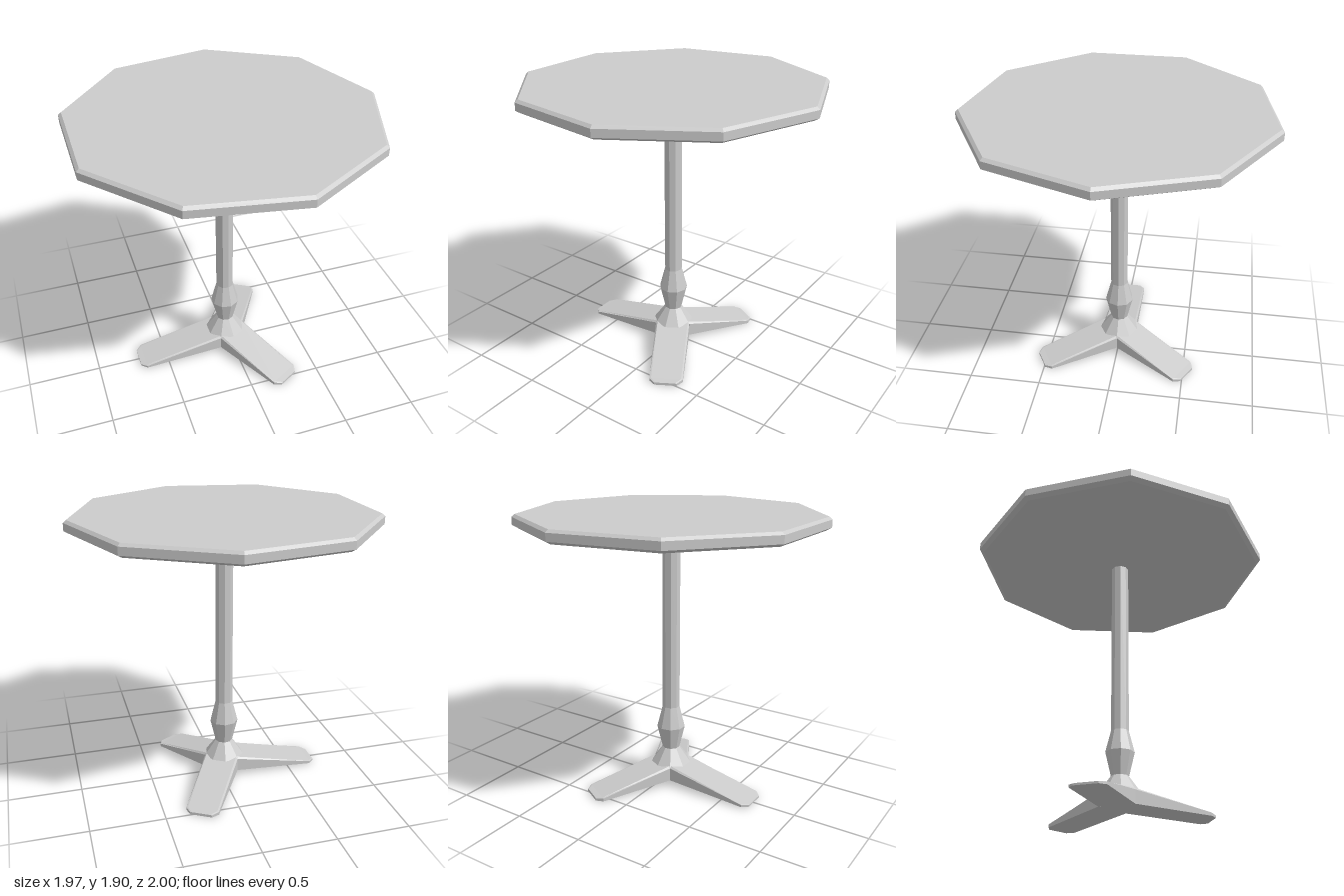
import * as THREE from 'three';

const SIDES = 9;
const CENTRE_X = -0.035;

const material = new THREE.MeshStandardMaterial({
  color: 0xcccccc, flatShading: true, side: THREE.DoubleSide,
});

// Nine-sided turned part from [radius, height] pairs, with one corner on +x
function turned(name, profile) {
  const points = profile.map(([r, y]) => new THREE.Vector2(r, y));
  const mesh = new THREE.Mesh(new THREE.LatheGeometry(points, SIDES, Math.PI / 2), material);
  mesh.name = name;
  return mesh;
}

// Solid lofted along +x; each section is [x, half width, bottom y, top y]
function legGeometry(sections) {
  const positions = [];
  const index = [];
  const n = 6;
  for (const [x, w, bottom, top] of sections) {
    const bevel = (top - bottom) * 0.12;
    const inner = Math.max(w - 0.012, 0);
    positions.push(
      x, bottom, -w, x, bottom, w,
      x, top - bevel, w, x, top, inner,
      x, top, -inner, x, top - bevel, -w,
    );
  }
  for (let s = 0; s < sections.length - 1; s++) {
    for (let j = 0; j < n; j++) {
      const a = s * n + j;
      const b = s * n + ((j + 1) % n);
      index.push(a, a + n, b, b, a + n, b + n);
    }
  }
  // Tip cap
  const last = (sections.length - 1) * n;
  for (let j = 1; j < n - 1; j++) index.push(last, last + j + 1, last + j);

  const geometry = new THREE.BufferGeometry();
  geometry.setAttribute('position', new THREE.Float32BufferAttribute(positions, 3));
  geometry.setIndex(index);
  geometry.computeVertexNormals();
  return geometry;
}

// Sloping leg with clipped tip corners; its root is a wedge that meets its neighbours
function leg(name, length, angle, tipY) {
  const mesh = new THREE.Mesh(legGeometry([
    [0, 0, 0.045, 0.15],
    [0.07, 0.121, 0.045, 0.15],
    [length - 0.04, 0.113, tipY + 0.002, 0.026],
    [length, 0.075, tipY, 0.018],
  ]), material);
  mesh.name = name;
  mesh.rotation.y = angle;
  return mesh;
}

export function createModel() {
  const model = new THREE.Group();
  model.name = 'pedestalTable';

  // Tabletop with bevelled rims
  model.add(turned('tabletop', [
    [0, 1.82], [0.985, 1.82], [1.015, 1.838], [1.015, 1.888], [0.995, 1.905], [0, 1.905],
  ]));

  // Column with a swelling near the foot
  model.add(turned('column', [
    [0.06, 0.25], [0.098, 0.41], [0.06, 0.56], [0.06, 1.82],
  ]));

  // Flared collar over the legs
  model.add(turned('collar', [[0.138, 0.14], [0.06, 0.25]]));

  // Three legs
  model.add(leg('rightLeg', 0.67, Math.PI, 0.005));
  model.add(leg('frontLeg', 0.612, -Math.PI / 3, 0));
  model.add(leg('backLeg', 0.612, Math.PI / 3, 0));

  for (const part of model.children) part.position.x = CENTRE_X;
  return model;
}
